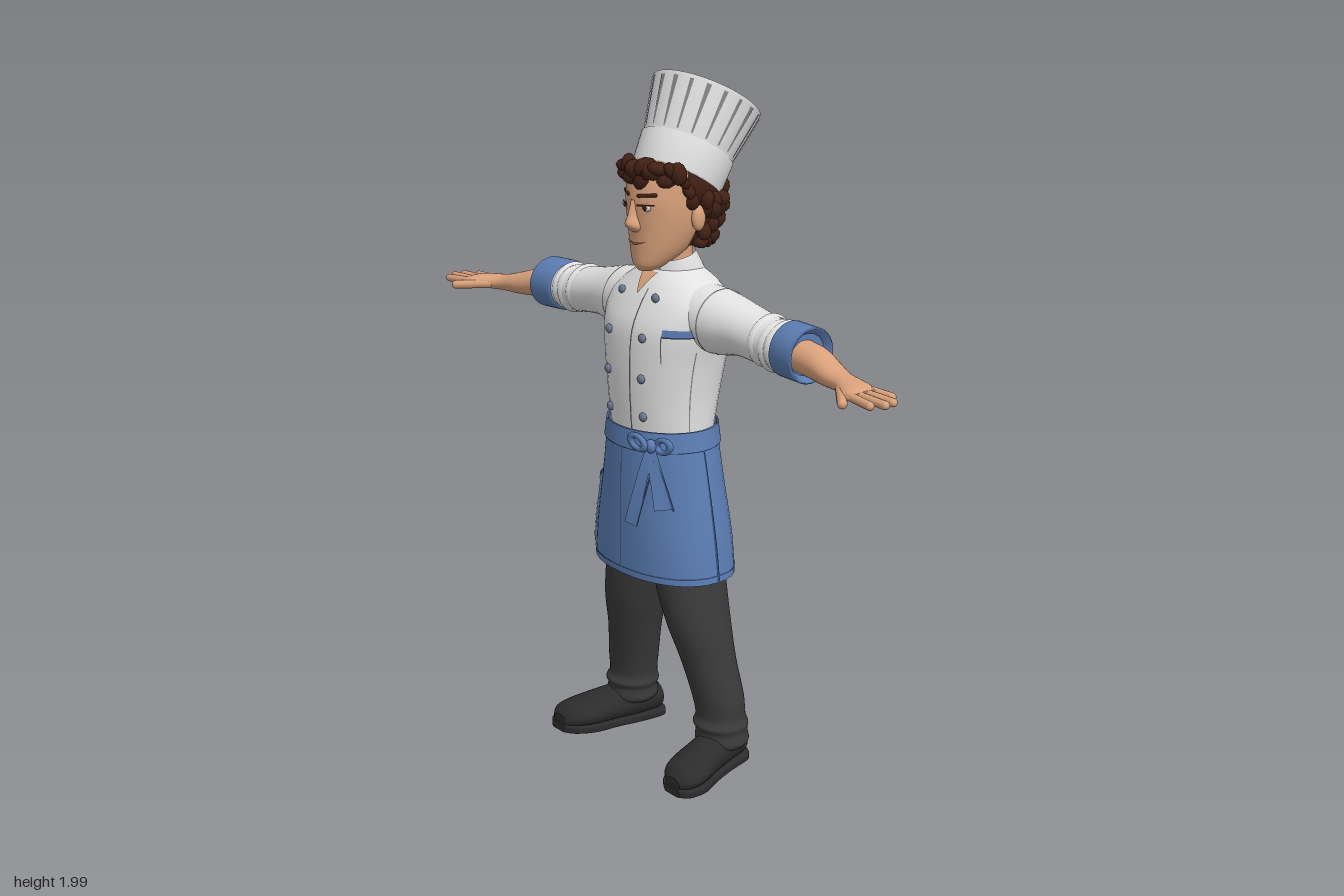
import * as THREE from 'three';

const mat = (name, color, side = THREE.FrontSide) => {
  const m = new THREE.MeshStandardMaterial({ color, side });
  m.name = name;
  return m;
};

// A section is [along, centreA, centreB, radiusA, radiusB, squareness = 2]
const catmull = (a, b, c, d, t) =>
  0.5 * (2 * b + (c - a) * t + (2 * a - 5 * b + 4 * c - d) * t * t + (3 * b - a - 3 * c + d) * t * t * t);

function smooth(sections, steps = 6) {
  const S = sections.map(s => [...s, 2].slice(0, 6)), out = [];
  if (steps < 2) return S;
  for (let i = 0; i < S.length - 1; i++) {
    const a = S[Math.max(i - 1, 0)], b = S[i], c = S[i + 1], d = S[Math.min(i + 2, S.length - 1)];
    for (let k = 0; k < steps; k++) out.push(b.map((_, j) => catmull(a[j], b[j], c[j], d[j], k / steps)));
  }
  out.push(S[S.length - 1]);
  return out;
}

function ringPoint(r, th, axis, off = 0) {
  const pw = v => Math.sign(v) * Math.abs(v) ** (2 / r[5]);
  const a = r[1] + (r[3] + off) * pw(Math.cos(th)), b = r[2] + (r[4] + off) * pw(Math.sin(th));
  return axis === 'y' ? [a, r[0], b] : axis === 'x' ? [r[0], a, b] : [a, b, r[0]];
}

function build(pos, idx) {
  const g = new THREE.BufferGeometry();
  g.setAttribute('position', new THREE.Float32BufferAttribute(pos, 3));
  g.setIndex(idx);
  g.computeVertexNormals();
  return g;
}

function loft(rings, axis = 'y', caps = true, off = 0, n = 36) {
  const pos = [], idx = [];
  const tri = (a, b, c) => (axis === 'y' ? idx.push(a, c, b) : idx.push(a, b, c));
  const addRing = r => {
    for (let j = 0; j < n; j++) pos.push(...ringPoint(r, j / n * Math.PI * 2, axis, off));
  };
  rings.forEach(addRing);
  for (let i = 0; i < rings.length - 1; i++) for (let j = 0; j < n; j++) {
    const k = (j + 1) % n, A = i * n + j, B = i * n + k;
    tri(A, B, B + n); tri(A, B + n, A + n);
  }
  if (caps) [rings[0], rings[rings.length - 1]].forEach((r, e) => {
    const o = pos.length / 3;
    addRing(r);
    pos.push(...ringPoint([r[0], r[1], r[2], 0, 0, 2], 0, axis));
    for (let j = 0; j < n; j++) {
      const k = (j + 1) % n;
      e ? tri(o + n, o + j, o + k) : tri(o + n, o + k, o + j);
    }
  });
  return build(pos, idx);
}

// Section of an upright loft at a given height
function sectionAt(R, y) {
  let i = 0;
  while (i < R.length - 2 && R[i + 1][0] < y) i++;
  const t = THREE.MathUtils.clamp((y - R[i][0]) / (R[i + 1][0] - R[i][0]), 0, 1);
  const r = R[i].map((v, j) => v + (R[i + 1][j] - v) * t);
  r[0] = y;
  return r;
}
const thetaAt = (r, x) => {
  const u = THREE.MathUtils.clamp((x - r[1]) / r[3], -1, 1);
  return Math.acos(Math.sign(u) * Math.abs(u) ** (r[5] / 2));
};
const frontPoint = (R, x, y, off = 0) => {
  const r = sectionAt(R, y);
  return ringPoint(r, thetaAt(r, x), 'y', off);
};

// Thin ribbon laid on the front of a loft from a to b; angular = horizontal coordinates are angles
function ribbon(R, a, b, w0, w1 = w0, off0 = 0.003, off1 = off0, angular = false) {
  const pos = [], idx = [], N = 14, len = Math.hypot(b[0] - a[0], b[1] - a[1]);
  const nx = angular ? 1 : (b[1] - a[1]) / len, ny = angular ? 0 : -(b[0] - a[0]) / len;
  for (let i = 0; i <= N; i++) {
    const t = i / N, w = (w0 + (w1 - w0) * t) / 2, off = off0 + (off1 - off0) * t;
    for (const s of [-w, w]) {
      const x = a[0] + (b[0] - a[0]) * t + nx * s, y = a[1] + (b[1] - a[1]) * t + ny * s;
      pos.push(...(angular ? ringPoint(sectionAt(R, y), x, 'y', off) : frontPoint(R, x, y, off)));
    }
    if (i < N) idx.push(2 * i, 2 * i + 1, 2 * i + 3, 2 * i, 2 * i + 3, 2 * i + 2);
  }
  return build(pos, idx);
}

function capsule(a, b, r) {
  const A = new THREE.Vector3(...a), d = new THREE.Vector3(...b).sub(A);
  const g = new THREE.CapsuleGeometry(r, d.length(), 5, 12);
  g.applyQuaternion(new THREE.Quaternion().setFromUnitVectors(new THREE.Vector3(0, 1, 0), d.clone().normalize()));
  return g.translate(...A.addScaledVector(d, 0.5).toArray());
}
const ball = (p, rx, ry, rz) => new THREE.SphereGeometry(1, 20, 14).scale(rx, ry, rz).translate(...p);

function mirror(geo) {
  const g = geo.clone().scale(-1, 1, 1), ix = g.index.array;
  for (let i = 0; i < ix.length; i += 3) [ix[i], ix[i + 1]] = [ix[i + 1], ix[i]];
  return g;
}

export function createModel() {
  const D = THREE.DoubleSide, root = new THREE.Group();
  root.name = 'cook';
  const white = mat('white cloth', 0xe2e2e2, D), seam = mat('grey seam', 0x85858a, D), blue = mat('blue cloth', 0x5b7db3, D);
  const navy = mat('dark blue seam', 0x30466c, D), skin = mat('skin', 0xdba27c, D), lip = mat('lip', 0x9c5a48, D);
  const hair = mat('brown hair', 0x422115), trouser = mat('charcoal cloth', 0x3a3a3b), shoe = mat('black leather', 0x2c2c2d);
  const steel = mat('steel button', 0x6d7a90);
  const add = (name, geo, m, parent = root) => {
    const mesh = new THREE.Mesh(geo, m);
    mesh.name = name;
    parent.add(mesh);
    return mesh;
  };
  const pair = (name, geo, m) => { add(name + 'Left', geo, m); add(name + 'Right', mirror(geo), m); };

  // Jacket body with seams, buttons and chest pocket
  const torso = smooth([[1.0, 0, .06, .163, .133], [1.1, 0, .055, .166, .143, 2.2], [1.2, 0, .048, .178, .151, 2.3],
    [1.3, 0, .04, .198, .15, 2.3], [1.37, 0, .028, .2, .13, 2.2], [1.42, 0, .02, .155, .105], [1.455, 0, .02, .085, .075]]);
  add('jacketBody', loft(torso), white);
  add('jacketFrontSeam', ribbon(torso, [.03, 1.41], [.03, 1.02], .005), seam);
  add('neckOpening', ribbon(torso, [0, 1.45], [0, 1.395], .06, .004, .005), skin);
  for (const y of [1.39, 1.285, 1.17, 1.06]) for (const x of [-.075, .07])
    add('button', ball(frontPoint(torso, x, y, .003), .013, .013, .009), steel);
  add('chestPocketTrim', ribbon(torso, [.125, 1.305], [.19, 1.305], .02), blue);
  add('chestPocketEdge', ribbon(torso, [.125, 1.295], [.19, 1.295], .004, .004, .005), navy);
  for (const x of [.125, .19]) add('chestPocketSide', ribbon(torso, [x, 1.295], [x, 1.22], .003), seam);
  for (const th of [0.25, Math.PI - 0.25]) add('jacketSideSeam', ribbon(torso, [th, 1.25], [th, 1.02], .025, .025, .002, .002, true), seam);

  // Stand collar, open at the front
  const collar = new THREE.CylinderGeometry(.073, .096, .075, 32, 1, true, .38, Math.PI * 2 - .76);
  add('collar', collar.scale(1, 1, .93).rotateX(.2).translate(0, 1.455, .02), white);

  // Sleeves, rolled cuffs, forearms and hands
  const sleeve = smooth([[.08, 1.345, .02, .085, .1], [.2, 1.33, .015, .09, .095], [.3, 1.326, .013, .073, .082],
    [.4, 1.315, .018, .067, .073], [.5, 1.31, .022, .066, .07]]);
  pair('sleeve', loft(sleeve, 'x'), white);
  pair('shoulderSeam', loft([sectionAt(sleeve, .203), sectionAt(sleeve, .208)], 'x', false, .002), seam);
  for (const [x, lean] of [[.4, .01], [.44, -.012], [.465, .008]]) {
    const r = sectionAt(sleeve, x);
    pair('sleeveFold', loft([[x - .012, r[1], r[2], r[3], r[4], 2], [x, r[1] + lean / 4, r[2], r[3] + .006, r[4] + .006, 2],
      [x + .012, r[1], r[2], r[3], r[4], 2]], 'x', false), white);
  }
  pair('cuff', loft(smooth([[.482, 1.312, .022, .066, .07], [.486, 1.312, .022, .076, .08], [.565, 1.31, .026, .076, .081],
    [.571, 1.31, .026, .07, .075], [.55, 1.31, .026, .056, .062]], 1), 'x'), blue);
  pair('forearm', loft(smooth([[.5, 1.31, .03, .044, .05], [.6, 1.302, .04, .043, .05], [.67, 1.292, .058, .034, .045],
    [.73, 1.285, .073, .025, .037], [.78, 1.283, .09, .022, .047], [.82, 1.283, .107, .019, .054], [.85, 1.282, .115, .012, .05]]), 'x'), skin);
  for (const [z0, x1, z1] of [[.072, .895, .066], [.1, .93, .098], [.127, .935, .13], [.15, .915, .163]])
    pair('finger', capsule([.83, 1.284, z0], [x1, 1.28, z1], .0115), skin);
  pair('thumb', capsule([.765, 1.28, .115], [.845, 1.274, .187], .013), skin);

  // Wrap apron with waistband, hems, pocket and bow
  const apron = smooth([[.585, 0, .053, .238, .16, 2.2], [.7, 0, .054, .224, .158, 2.2], [.85, 0, .057, .2, .153],
    [.97, 0, .06, .178, .146], [1.02, 0, .06, .17, .141]]);
  const band = (y0, y1) => [sectionAt(apron, y0), sectionAt(apron, y1)];
  add('apron', loft(apron, 'y', false), blue);
  add('waistband', loft(band(.965, 1.02), 'y', false, .006), blue);
  add('waistbandSeam', loft(band(.962, .967), 'y', false, .004), navy);
  add('apronHem', loft(band(.603, .607), 'y', false, .002), navy);
  for (const th of [0, Math.PI]) add('apronSideSeam', ribbon(apron, [th, .96], [th, .59], .035, .035, .003, .003, true), navy);
  add('apronCentreSeam', ribbon(apron, [0, .96], [0, .61], .003, .003, .002), navy);
  add('apronPocket', ribbon(apron, [-.182, .83], [-.187, .62], .045, .045, .005), blue);
  add('pocketTop', ribbon(apron, [-.2, .825], [-.16, .825], .016, .016, .008), navy);
  add('pocketEdge', ribbon(apron, [-.16, .83], [-.163, .62], .005, .005, .007), navy);
  const knot = frontPoint(apron, .1, .985, .014);
  add('bowKnot', ball(knot, .017, .02, .014), blue);
  for (const [dx, dy, turn] of [[-.038, .006, -.2], [.036, .004, .25]]) {
    const loop = new THREE.TorusGeometry(.021, .0085, 8, 20).scale(1.45, .85, 1).rotateZ(turn);
    add('bowLoop', loop.translate(knot[0] + dx, knot[1] + dy, knot[2] - dx * .4), blue);
  }
  for (const [x, y] of [[.06, .755], [.142, .81]]) {
    add('bowTail', ribbon(apron, [.1, .98], [x, y], .022, .04, .014, .026), blue);
    add('bowTailEdge', ribbon(apron, [.115, .96], [x + .02, y], .004, .004, .015, .027), navy);
  }

  // Trousers
  add('hips', loft(smooth([[.6, 0, .05, .12, .1], [.72, 0, .05, .165, .125], [.95, 0, .055, .15, .12]])), trouser);
  pair('trouserLeg', loft(smooth([[.07, .21, .01, .07, .068], [.085, .209, .01, .081, .077], [.115, .207, .01, .078, .073],
    [.135, .205, .012, .083, .079], [.16, .202, .01, .076, .07], [.22, .194, .015, .08, .073], [.33, .168, .03, .081, .081],
    [.45, .14, .045, .087, .099], [.58, .11, .05, .091, .11], [.72, .095, .05, .085, .11]])), trouser);

  // Shoes: rounded uppers on flat soles
  pair('shoeUpper', loft(smooth([[-.072, .192, .055, .03, .03], [-.055, .195, .06, .052, .048], [.02, .208, .062, .062, .055],
    [.1, .23, .055, .066, .05], [.17, .25, .047, .073, .04], [.22, .262, .042, .06, .032], [.245, .267, .034, .03, .018]]), 'z'), shoe);
  pair('sole', loft(smooth([[-.076, .192, .013, .035, .013, 6], [-.055, .195, .013, .058, .013, 6], [.02, .208, .013, .064, .013, 6],
    [.1, .23, .013, .068, .013, 6], [.17, .25, .013, .078, .013, 6], [.225, .264, .013, .062, .013, 6],
    [.25, .268, .013, .032, .012, 6]]), 'z'), shoe);

  // Neck, head, ears and nose
  add('neck', loft(smooth([[1.4, 0, .02, .062, .066], [1.48, 0, .025, .055, .062], [1.57, 0, .025, .056, .065]])), skin);
  const head = smooth([[1.455, 0, .115, .022, .022], [1.473, 0, .1, .047, .05], [1.51, 0, .07, .073, .083],
    [1.56, 0, .05, .092, .105], [1.61, 0, .04, .102, .119], [1.66, 0, .035, .105, .127], [1.72, 0, .025, .105, .125], [1.77, 0, .015, .09, .1]]);
  add('head', loft(head), skin);
  pair('ear', ball([.109, 1.603, .02], .015, .036, .022), skin);
  add('nose', loft(smooth([[1.566, 0, .148, .012, .012], [1.576, 0, .152, .021, .022], [1.59, 0, .155, .021, .031],
    [1.615, 0, .155, .013, .022], [1.655, 0, .155, .009, .01]])), skin);

  // Eyes, brows and mouth
  pair('eye', ball(frontPoint(head, .042, 1.637, -.003), .019, .011, .007), white);
  pair('iris', ball(frontPoint(head, .041, 1.637, .002), .008, .0085, .004), hair);
  pair('upperLid', ribbon(head, [.02, 1.643], [.064, 1.645], .006, .004, .006), hair);
  pair('brow', capsule(frontPoint(head, .022, 1.668), frontPoint(head, .064, 1.672), .0055), hair);
  pair('mouth', ribbon(head, [0, 1.532], [.036, 1.541], .007, .003, .003), lip);

  // Hair: a cap behind the ears covered in curls
  add('hairCap', loft(smooth([[1.52, 0, -.01, .075, .075], [1.57, 0, -.028, .1, .08], [1.64, 0, -.02, .112, .095],
    [1.7, 0, 0, .116, .122], [1.76, 0, .005, .1, .115]])), hair);
  let seed = 7;
  const rnd = () => (seed = (seed * 16807) % 2147483647) / 2147483647;
  const curl = (x, y, z, r) => {
    const m = add('curl', new THREE.IcosahedronGeometry(r, 1), hair);
    m.scale.set(1, 1.3, .8);
    m.position.set(x, y, z);
    m.rotation.set(rnd() * 3, rnd() * 3, rnd() * 3);
  };
  for (const [y, r] of [[1.535, .078], [1.575, .1], [1.62, .108], [1.66, .112]]) for (let i = 0; i < 11; i++) {
    const a = (i / 10 - .5) * 3.3;
    curl(Math.sin(a) * r, y + (rnd() - .5) * .025, -.015 - Math.cos(a) * r * .85, .02 + rnd() * .008);
  }
  for (let i = 0; i < 13; i++) {
    const x = -.045 + i * .0135;
    curl(x, 1.735 + (rnd() - .5) * .05 - Math.max(0, x - .06) * .4, .15 - x * x * 4.5 + rnd() * .012, .022 + rnd() * .006);
  }
  for (const s of [-1, 1]) for (const [y, z] of [[1.71, .075], [1.68, .055], [1.65, .042]]) curl(s * .11, y, z, .019);

  // Tall pleated hat leaning back
  const hat = new THREE.Group();
  hat.name = 'hat';
  hat.position.set(0, 1.697, .008);
  hat.rotation.set(-.535, 0, .075);
  hat.scale.x = .96;
  root.add(hat);
  const prof = (pts) => new THREE.LatheGeometry(pts.map(p => new THREE.Vector2(...p)), 48);
  add('hatBand', prof([[.12, 0], [.132, 0], [.137, .09], [.132, .094]]), white, hat);
  add('hatCrown', prof([[.132, .09], [.148, .17], [.162, .242], [.1615, .248]]), white, hat);
  add('hatTop', prof([[.1615, .248], [.1, .25], [0, .251]]), white, hat);
  add('hatInside', prof([[0, .02], [.125, .02]]), white, hat);
  const crown = smooth([[.09, 0, 0, .132, .132], [.17, 0, 0, .148, .148], [.242, 0, 0, .162, .162]], 1);
  for (let i = 0; i < 20; i++) {
    const a = i / 20 * Math.PI * 2 + .08;
    add('pleat', ribbon(crown, [a, .1], [a, .236], .04, .07 + rnd() * .04, .002, .002, true), seam, hat);
  }
  return root;
}
